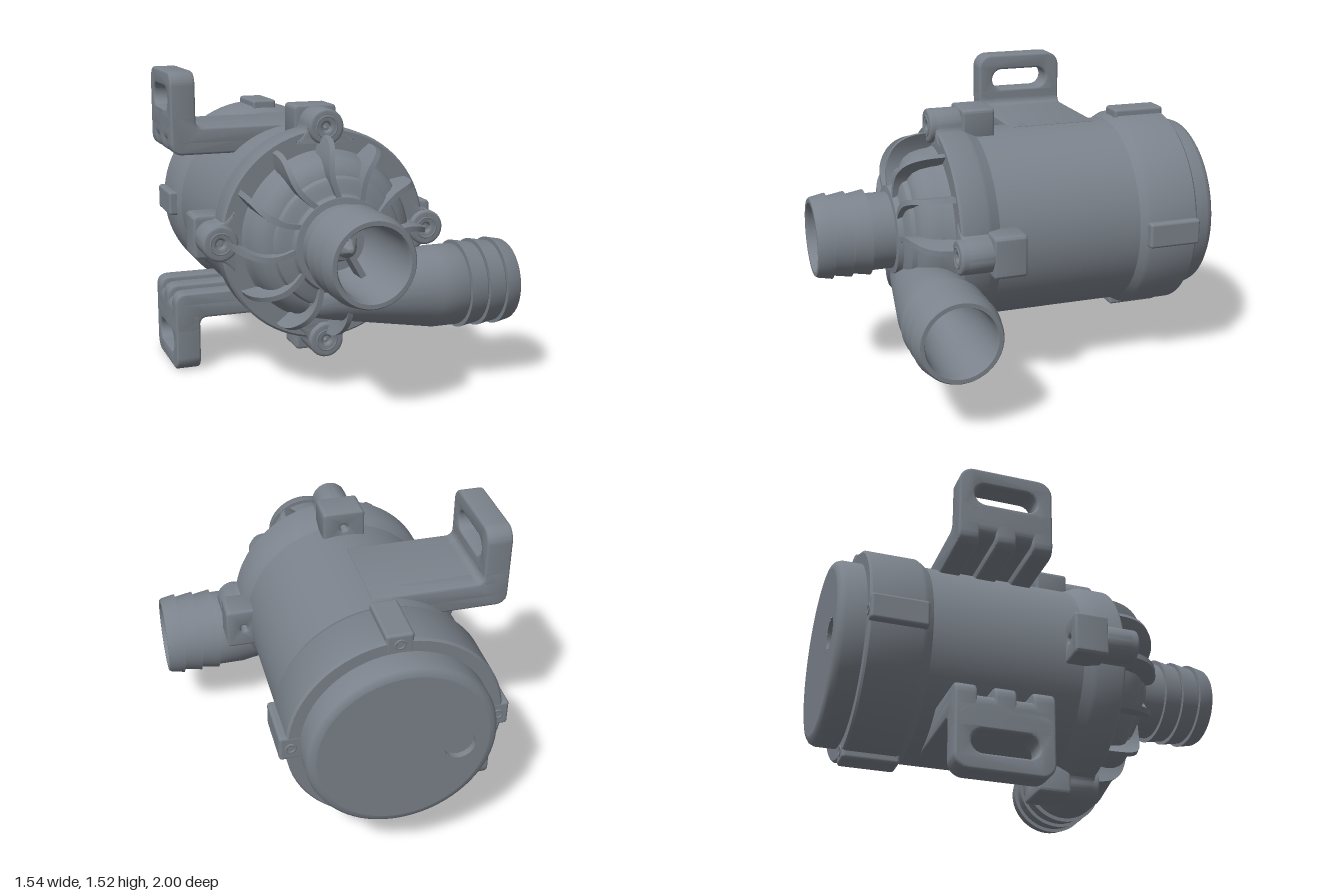
import * as THREE from 'three';
import { toCreasedNormals } from 'three/addons/utils/BufferGeometryUtils.js';
import { RoundedBoxGeometry } from 'three/addons/geometries/RoundedBoxGeometry.js';

const color = 0x7b828b;
const material = new THREE.MeshStandardMaterial({ color });
const openMaterial = new THREE.MeshStandardMaterial({ color, side: THREE.DoubleSide });

function add(parent, name, geometry, mat = material) {
  const mesh = new THREE.Mesh(geometry, mat);
  mesh.name = name;
  parent.add(mesh);
  return mesh;
}

// Turned part along z; the profile is [radius, z] from back to front.
function turned(profile, segments = 72) {
  const geo = new THREE.LatheGeometry(profile.map(([r, z]) => new THREE.Vector2(r, z)), segments);
  return toCreasedNormals(geo.rotateX(Math.PI / 2), 0.6);
}

// Extrusion whose bevel stays inside the drawn outline and depth.
function extruded(shape, depth, bevel = 0.012) {
  const geo = new THREE.ExtrudeGeometry(shape, {
    depth: depth - 2 * bevel, bevelEnabled: true, bevelThickness: bevel,
    bevelSize: bevel, bevelOffset: -bevel, bevelSegments: 3, curveSegments: 16,
  });
  return toCreasedNormals(geo.translate(0, 0, bevel), 0.6);
}

function circleHole(x, y, r) {
  return new THREE.Path().absarc(x, y, r, 0, Math.PI * 2, true);
}

function roundedRect(target, x0, y0, x1, y1, r) {
  target.moveTo(x0 + r, y0);
  target.lineTo(x1 - r, y0).absarc(x1 - r, y0 + r, r, -Math.PI / 2, 0);
  target.lineTo(x1, y1 - r).absarc(x1 - r, y1 - r, r, 0, Math.PI / 2);
  target.lineTo(x0 + r, y1).absarc(x0 + r, y1 - r, r, Math.PI / 2, Math.PI);
  target.lineTo(x0, y0 + r).absarc(x0 + r, y0 + r, r, Math.PI, Math.PI * 1.5);
  return target;
}

// Three hose barbs ending in a lip at position `end`.
function barbs(end) {
  const points = [];
  for (const back of [0.27, 0.175, 0.08]) {
    points.push([0.195, end - back], [0.216, end - back], [0.2, end - back + 0.09]);
  }
  points[points.length - 1] = [0.202, end - 0.01];
  return points;
}

// Corner and arm of the mounting bracket, seen along z.
function bracketProfile(bottom) {
  const s = new THREE.Shape();
  s.moveTo(0.02, bottom);
  s.lineTo(-0.585, bottom);
  s.quadraticCurveTo(-0.645, bottom, -0.645, bottom + 0.06);
  s.lineTo(-0.645, 0.56);
  s.lineTo(-0.52, 0.56);
  s.lineTo(-0.52, 0.525);
  s.quadraticCurveTo(-0.52, 0.485, -0.48, 0.485);
  s.lineTo(0.02, 0.485);
  return s;
}

function makeBracket() {
  const bracket = new THREE.Group();
  add(bracket, 'bracketArm', extruded(bracketProfile(0.4), 0.46).translate(0, 0, -0.23));
  // Stiffening ridges under the arm
  for (const z of [-0.18, 0, 0.18]) {
    add(bracket, 'bracketRidge', extruded(bracketProfile(0.352), 0.1).translate(0, 0, z - 0.05));
  }
  const tab = roundedRect(new THREE.Shape(), -0.23, 0.46, 0.23, 0.76, 0.07);
  tab.holes.push(roundedRect(new THREE.Path(), -0.155, 0.57, 0.155, 0.68, 0.054));
  add(bracket, 'bracketTab', extruded(tab, 0.125).rotateY(Math.PI / 2).translate(-0.645, 0, 0));
  // Square shoulders where the tab meets the arm
  add(bracket, 'bracketShoulder', new RoundedBoxGeometry(0.125, 0.1, 0.46, 3, 0.012).translate(-0.5825, 0.515, 0));
  return bracket;
}

// Curved rib on the pump cover: a bar bent sideways, its top following a rounded shoulder.
function ribGeometry() {
  const geo = new THREE.BoxGeometry(1, 1, 0.026, 28, 1, 1);
  const p = geo.attributes.position;
  for (let i = 0; i < p.count; i++) {
    const t = 1 - (0.5 - p.getX(i)) ** 2;
    const top = 0.36 + 0.247 * Math.cbrt(Math.max(0, 1 - t ** 3));
    const bow = 0.04 * Math.sin(Math.PI * t);
    p.setXYZ(i, 0.2 + 0.285 * t, bow - p.getZ(i), p.getY(i) > 0 ? top : 0.355);
  }
  return toCreasedNormals(geo, 0.6);
}

export function createModel() {
  const model = new THREE.Group();
  model.name = 'waterPump';
  const pump = new THREE.Group();
  pump.name = 'pump';
  pump.position.set(-0.13, 0.76, 0);
  model.add(pump);

  // Motor housing and its flanges
  add(pump, 'motorBody', turned([[0.484, -0.62], [0.484, 0.2]]));
  add(pump, 'rearFlange', turned([[0.43, -0.87], [0.505, -0.87], [0.515, -0.86], [0.515, -0.62], [0.505, -0.6], [0.482, -0.565]]));
  add(pump, 'frontFlange', turned([[0.482, 0.165], [0.505, 0.215], [0.515, 0.235], [0.515, 0.36], [0.505, 0.37], [0.2, 0.37]]));

  // Rear cap with a round well in its face
  add(pump, 'rearCap', turned([[0.405, -1], [0.425, -0.996], [0.441, -0.984], [0.45, -0.96], [0.45, -0.86]]));
  const face = new THREE.Shape().absarc(0, 0, 0.405, 0, Math.PI * 2, false);
  face.holes.push(circleHole(0.265, -0.03, 0.075));
  add(pump, 'rearCapFace', new THREE.ShapeGeometry(face, 36).rotateY(Math.PI).translate(0, 0, -1));
  const well = turned([[0, -0.97], [0.075, -0.97], [0.075, -1]], 32);
  add(pump, 'rearCapWell', well.translate(-0.265, -0.03, 0), openMaterial);

  // Screw lugs around both flanges
  const frontLug = new THREE.Shape();
  frontLug.moveTo(-0.15, 0.45);
  frontLug.quadraticCurveTo(-0.1, 0.48, -0.086, 0.53);
  frontLug.absarc(0, 0.522, 0.086, Math.PI, 0, true);
  frontLug.quadraticCurveTo(0.1, 0.48, 0.15, 0.45);
  frontLug.holes.push(circleHole(0, 0.522, 0.02));
  const boss = new THREE.Shape().absarc(0, 0.522, 0.086, 0, Math.PI * 2, false);
  boss.holes.push(circleHole(0, 0.522, 0.02));
  const rearLug = roundedRect(new THREE.Shape(), -0.105, 0.42, 0.105, 0.61, 0.02);
  rearLug.holes.push(circleHole(0, 0.522, 0.018));
  const lugGeo = extruded(frontLug, 0.145).translate(0, 0, 0.23);
  const bossGeo = extruded(boss, 0.1).translate(0, 0, 0.3);
  const blockGeo = extruded(rearLug, 0.165).translate(0, 0, 0.075);
  const ringGeo = new THREE.TorusGeometry(0.05, 0.005, 8, 32).translate(0, 0.522, 0.399);
  const capLugGeo = new RoundedBoxGeometry(0.13, 0.13, 0.272, 3, 0.015).translate(0, 0.48, -0.735);
  const screwGeo = new THREE.TorusGeometry(0.022, 0.006, 8, 24).translate(0, 0.492, -0.87);
  for (let i = 0; i < 4; i++) {
    const lug = new THREE.Group();
    lug.name = 'lugSet';
    lug.rotation.z = (i * Math.PI) / 2;
    add(lug, 'frontLug', lugGeo);
    add(lug, 'lugBoss', bossGeo);
    add(lug, 'lugBlock', blockGeo);
    add(lug, 'lugRing', ringGeo);
    add(lug, 'capLug', capLugGeo);
    add(lug, 'capScrew', screwGeo);
    pump.add(lug);
  }

  // Stepped volute cover with curved ribs
  add(pump, 'voluteCover', turned([[0.42, 0.36], [0.405, 0.39], [0.4, 0.43], [0.385, 0.48], [0.36, 0.515], [0.325, 0.535],
    [0.315, 0.538], [0.305, 0.56], [0.28, 0.575], [0.245, 0.58], [0.235, 0.585], [0.225, 0.61], [0.19, 0.615]]));
  const rib = ribGeometry();
  for (let i = 0; i < 10; i++) {
    add(pump, 'coverRib', rib).rotation.z = THREE.MathUtils.degToRad(i * 30 + 1);
  }

  // Inlet pipe with bore, nose and spokes
  add(pump, 'inletPipe', turned([[0.195, 0.56], ...barbs(1), [0.195, 1], [0.175, 1], [0.165, 0.98], [0.165, 0.58], [0.14, 0.53], [0, 0.53]]), openMaterial);
  add(pump, 'inletNose', turned([[0.082, 0.52], [0.08, 0.59], [0.07, 0.61], [0.05, 0.615], [0.046, 0.67], [0.012, 0.73], [0, 0.735]], 32));
  for (const angle of [60, 180, 300]) {
    const geo = new THREE.BoxGeometry(0.14, 0.028, 0.1).translate(0.1, 0, 0.62);
    add(pump, 'inletSpoke', geo).rotation.z = THREE.MathUtils.degToRad(angle);
  }

  // Flared outlet pipe leaving the volute towards +x
  const outlet = turned([[0, -0.28], [0.06, -0.265], [0.1, -0.22], [0.115, -0.15], [0.2, 0.36], [0.2, 0.49],
    ...barbs(0.77), [0.195, 0.77], [0.175, 0.77], [0.168, 0.75], [0.16, 0.5], [0.085, 0.05], [0, 0.05]]);
  add(model, 'outletPipe', outlet.rotateY(Math.PI / 2).translate(0, 0.49, 0.49), openMaterial);

  // Upper and lower mounting brackets
  for (const [name, turn] of [['upperBracket', 0], ['lowerBracket', Math.PI]]) {
    const bracket = makeBracket();
    bracket.name = name;
    bracket.position.z = -0.275;
    bracket.rotation.x = turn;
    pump.add(bracket);
  }
  return model;
}
